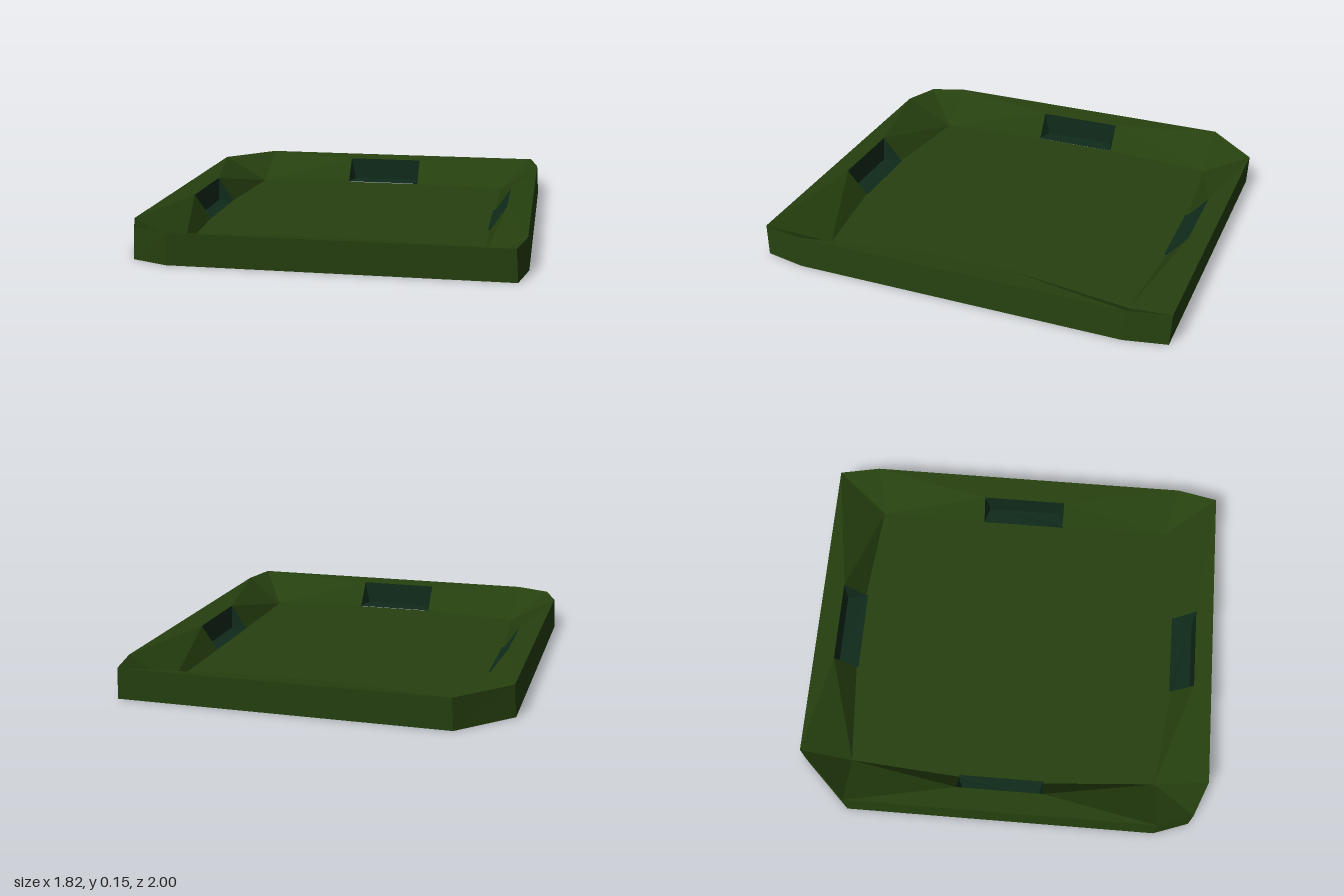
import * as THREE from 'three';

const green = new THREE.MeshStandardMaterial({ color: 0x26400f, side: THREE.DoubleSide });
green.name = 'dark green';
const teal = new THREE.MeshStandardMaterial({ color: 0x0f2a1a, side: THREE.DoubleSide });
teal.name = 'deep teal green';

const V = (x, y, z) => new THREE.Vector3(x, y, z);

// Collects flat faces; each is turned so that it faces the given direction
function faceMesh(name, material, faces) {
  const pts = [];
  for (const { corners, dir } of faces) {
    for (let i = 1; i < corners.length - 1; i++) {
      let [a, b, c] = [corners[0], corners[i], corners[i + 1]];
      const n = b.clone().sub(a).cross(c.clone().sub(a));
      if (n.dot(dir) < 0) [b, c] = [c, b];
      pts.push(a, b, c);
    }
  }
  const geo = new THREE.BufferGeometry().setFromPoints(pts);
  geo.computeVertexNormals();
  const mesh = new THREE.Mesh(geo, material);
  mesh.name = name;
  return mesh;
}

const UP = V(0, 1, 0);
const TOP = 0.15, LEDGE = 0.14, FLOOR = 0.02;

// Outer outline, clockwise from above, with uneven cut corners
const outline = [
  [-0.67, -1], [0.86, -1], [0.9, -0.8], [0.9, 0.8], [0.86, 1],
  [-0.67, 1], [-0.84, 0.93], [-0.9, 0.76], [-0.9, -0.76],
];

// Each side of the tray: start corner, then the two upper pocket ends and their feet
const sides = [
  { corner: [-0.67, -0.76], ends: [[-0.18, -0.9], [0.22, -0.9]], feet: [[-0.18, -0.8], [0.22, -0.8]] },
  { corner: [0.7, -0.76], ends: [[0.78, -0.22], [0.78, 0.2]], feet: [[0.7, -0.22], [0.7, 0.2]] },
  { corner: [0.7, 0.75], ends: [[0.22, 0.915], [-0.18, 0.915]], feet: [[0.22, 0.815], [-0.18, 0.815]] },
  { corner: [-0.67, 0.75], ends: [[-0.79, 0.2], [-0.79, -0.22]], feet: [[-0.71, 0.2], [-0.71, -0.22]] },
];

// Stitches two rings into a band, stepping around by angle
function stitch(outer, inner) {
  const TAU = Math.PI * 2;
  const start = Math.atan2(inner[0].z, inner[0].x) - 0.2;
  const ang = (p) => (Math.atan2(p.z, p.x) - start + 2 * TAU) % TAU;
  const sort = (ring) => [...ring].sort((p, q) => ang(p) - ang(q));
  const o = sort(outer), n = sort(inner), faces = [];
  let i = 0, j = 0;
  while (i < o.length || j < n.length) {
    const a = o[i % o.length], b = n[j % n.length];
    const nextO = i + 1 < o.length ? ang(o[i + 1]) : ang(o[0]) + TAU;
    const nextN = j + 1 < n.length ? ang(n[j + 1]) : ang(n[0]) + TAU;
    if (j >= n.length || (i < o.length && nextO < nextN)) {
      i++;
      faces.push({ corners: [a, o[i % o.length], b], dir: UP });
    } else {
      j++;
      faces.push({ corners: [a, n[j % n.length], b], dir: UP });
    }
  }
  return faces;
}

export function createModel() {
  const model = new THREE.Group();
  model.name = 'tray';

  const topRing = outline.map(([x, z]) => V(x, TOP, z));
  const bottomRing = outline.map(([x, z]) => V(x * 1.011, 0, z * 0.993));

  // Outer wall, open underneath
  const wall = topRing.map((p, i) => {
    const k = (i + 1) % topRing.length;
    const corners = [p, topRing[k], bottomRing[k], bottomRing[i]];
    return { corners, dir: V(p.x + topRing[k].x, 0, p.z + topRing[k].z) };
  });
  model.add(faceMesh('outerWall', green, wall));

  const innerRing = [], panelRing = [], slopes = [];
  const pockets = new THREE.Group();
  pockets.name = 'pockets';

  sides.forEach((side, s) => {
    const corner = V(side.corner[0], FLOOR, side.corner[1]);
    const next = sides[(s + 1) % 4].corner;
    const nextCorner = V(next[0], FLOOR, next[1]);
    const [e0, e1] = side.ends.map(([x, z]) => V(x, LEDGE, z));
    const [f0, f1] = side.feet.map(([x, z]) => V(x, FLOOR, z));
    innerRing.push(corner, e0, e1);
    panelRing.push(corner, f0, f1);

    // Sloping gussets beside the pocket
    slopes.push({ corners: [corner, e0, f0], dir: UP }, { corners: [nextCorner, e1, f1], dir: UP });

    // Pocket: back wall, floor and two tapered cheeks
    const inward = V(-(e0.x + e1.x), 0.5, -(e0.z + e1.z));
    const b0 = e0.clone().lerp(e1, 0.07).lerp(f0, 0.08).setY(FLOOR + 0.005);
    const b1 = e1.clone().lerp(e0, 0.07).lerp(f1, 0.08).setY(FLOOR + 0.005);
    const along = e1.clone().sub(e0);
    const lip = f0.clone().sub(e0).setY(0).multiplyScalar(0.1);
    const g0 = f0.clone().add(lip).setY(FLOOR + 0.005);
    const g1 = f1.clone().add(lip).setY(FLOOR + 0.005);
    pockets.add(faceMesh('pocket', teal, [
      { corners: [e0, e1, b1, b0], dir: inward },
      { corners: [b0, b1, f1, g1, g0, f0], dir: UP },
      { corners: [e0, b0, f0], dir: along },
      { corners: [e1, b1, f1], dir: along.clone().negate() },
    ]));
  });

  // Rim, gussets and sunken panel
  model.add(faceMesh('rim', green, stitch(topRing, innerRing)));
  model.add(faceMesh('gussets', green, slopes));
  const centre = V(0, FLOOR, 0);
  model.add(faceMesh('sunkenPanel', green, panelRing.map((p, i) => (
    { corners: [centre, p, panelRing[(i + 1) % panelRing.length]], dir: UP }
  ))));
  model.add(pockets);
  return model;
}
